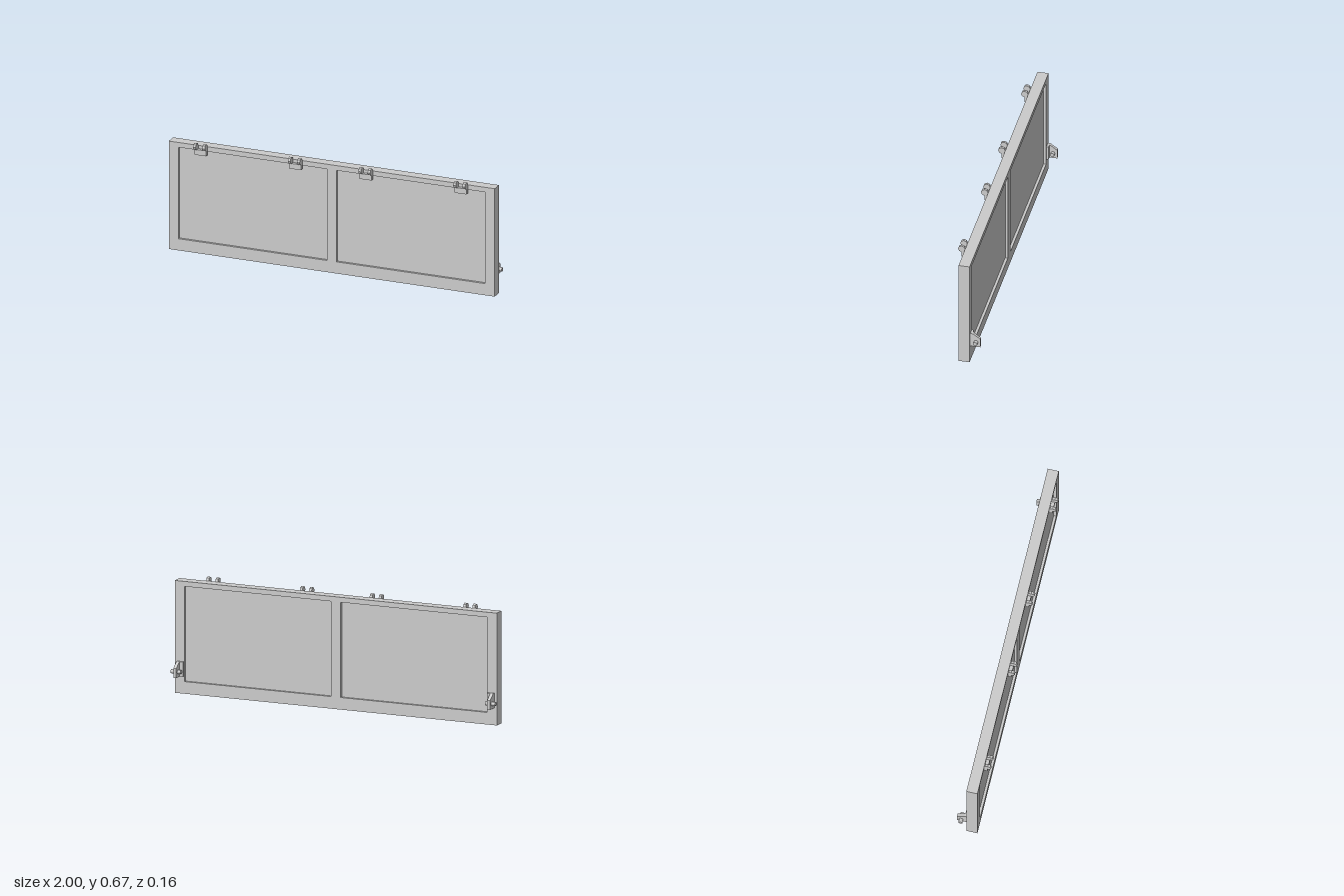
import * as THREE from 'three';

const material = new THREE.MeshStandardMaterial({ color: 0xcccccc, flatShading: true });

function add(parent, name, geometry, x = 0, y = 0, z = 0) {
  const mesh = new THREE.Mesh(geometry, material);
  mesh.name = name;
  mesh.position.set(x, y, z);
  parent.add(mesh);
  return mesh;
}

function rectPath(path, x0, y0, x1, y1) {
  path.moveTo(x0, y0);
  path.lineTo(x1, y0);
  path.lineTo(x1, y1);
  path.lineTo(x0, y1);
  path.closePath();
  return path;
}

// Extrudes a (z, y) outline along x, centred on x = 0
function extrudeAlongX(points, width) {
  const shape = new THREE.Shape(points.map(([z, y]) => new THREE.Vector2(-z, y)));
  const g = new THREE.ExtrudeGeometry(shape, { depth: width, bevelEnabled: false });
  g.translate(0, 0, -width / 2);
  return g.rotateY(Math.PI / 2);
}

const FRONT = 0.041, BACK = -0.023;

// Hook-shaped hinge: mounting block and two octagonal knuckles
function createHinge(x) {
  const hinge = new THREE.Group();
  hinge.name = 'hinge';
  hinge.position.x = x;
  add(hinge, 'hingeBlock', new THREE.BoxGeometry(0.072, 0.032, 0.02), 0, 0.614, FRONT + 0.01);
  const outline = [[FRONT, 0.598], [0.061, 0.598]];
  for (let i = 0; i <= 6; i++) {
    const a = -Math.PI / 2 + (i * Math.PI) / 4;
    outline.push([0.061 + 0.0205 * Math.cos(a), 0.649 + 0.0205 * Math.sin(a)]);
  }
  for (const side of [-1, 1])
    add(hinge, 'hingeKnuckle', extrudeAlongX(outline, 0.016), side * 0.028);
  return hinge;
}

// Angled rear bracket with a pivot pin; side is +1 or -1
function createBracket(side) {
  const bracket = new THREE.Group();
  bracket.name = side > 0 ? 'leftBracket' : 'rightBracket';
  const plate = [[BACK, 0.1], [BACK, 0.185], [-0.038, 0.185], [-0.081, 0.155], [-0.081, 0.1]];
  add(bracket, 'bracketPlate', extrudeAlongX(plate, 0.018), side * 0.968);
  add(bracket, 'bracketFoot', new THREE.BoxGeometry(0.03, 0.085, 0.013), side * 0.952, 0.1425, BACK - 0.0065);
  const pin = new THREE.CylinderGeometry(0.0118, 0.0118, 0.06, 16).rotateZ(Math.PI / 2);
  const mesh = add(bracket, 'pivotPin', pin, side * 0.97, 0.131, -0.056);
  mesh.material = new THREE.MeshStandardMaterial({ color: 0xcccccc });
  return bracket;
}

export function createModel() {
  const model = new THREE.Group();
  model.name = 'hingedPanel';

  // Frame with two rectangular openings
  const shape = rectPath(new THREE.Shape(), -0.993, 0, 0.993, 0.649);
  shape.holes.push(rectPath(new THREE.Path(), -0.933, 0.07, -0.03, 0.62));
  shape.holes.push(rectPath(new THREE.Path(), 0.03, 0.07, 0.933, 0.62));
  add(model, 'frame', new THREE.ExtrudeGeometry(shape, { depth: FRONT - BACK, bevelEnabled: false }), 0, 0, BACK);

  // Recessed infill panels and rear brackets
  for (const side of [-1, 1]) {
    add(model, 'infillPanel', new THREE.BoxGeometry(0.903, 0.55, 0.034), side * 0.4815, 0.345, 0.009);
    model.add(createBracket(side));
  }

  // Hinges along the top front edge
  for (const x of [-0.793, -0.215, 0.215, 0.793]) model.add(createHinge(x));

  return model;
}
